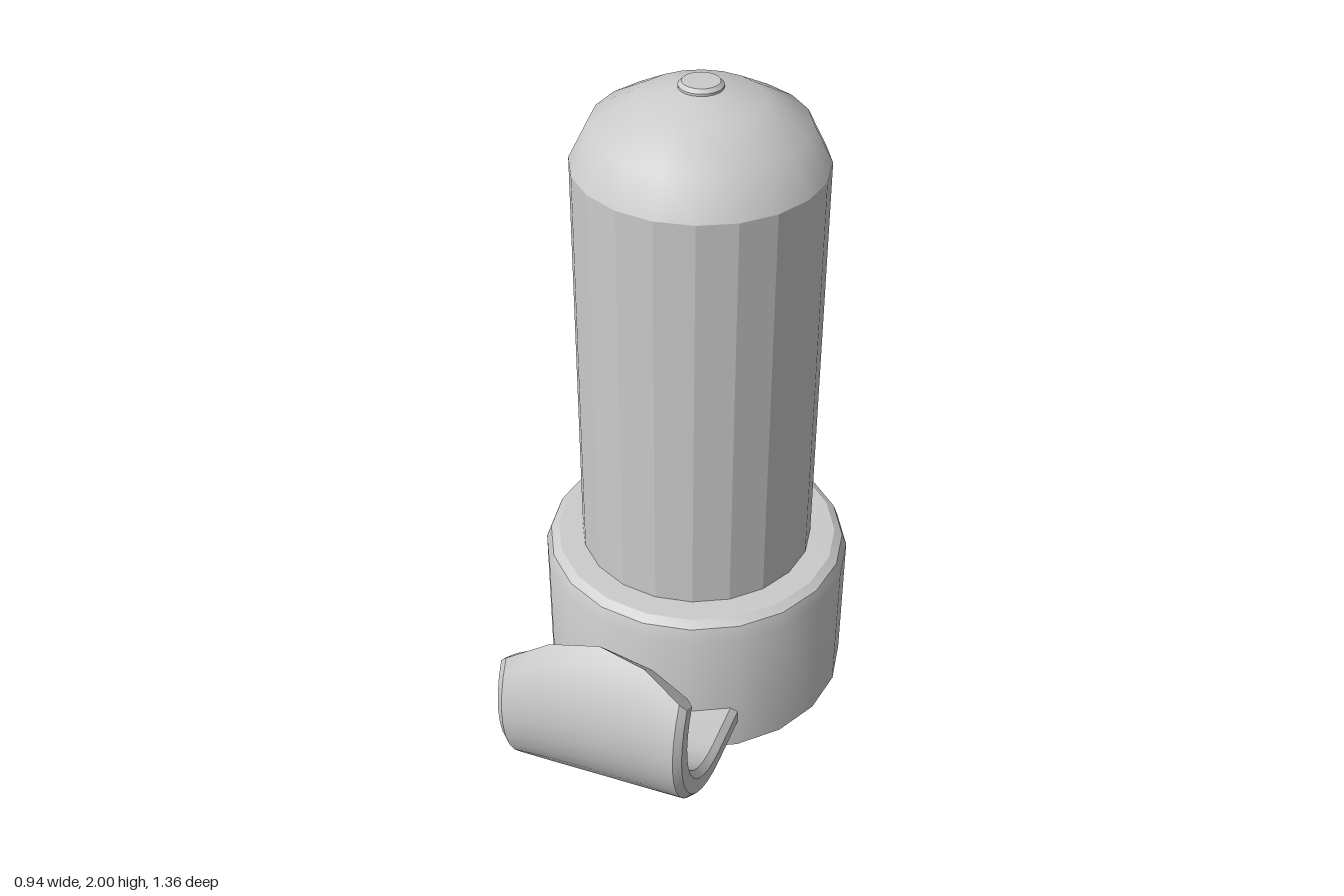
import * as THREE from 'three';
import { toCreasedNormals } from 'three/addons/utils/BufferGeometryUtils.js';

const SIDES = 20;
const AXIS_Z = -0.21; // the upright axis sits behind the centre

function addMesh(group, name, geometry, flatShading = false) {
  const material = new THREE.MeshStandardMaterial({ color: 0xcccccc, flatShading });
  const mesh = new THREE.Mesh(geometry, material);
  mesh.name = name;
  group.add(mesh);
  return mesh;
}

// Turned part from [radius, height] pairs
function turned(points, crease = 0.5) {
  const profile = points.map(([r, y]) => new THREE.Vector2(r, y));
  return toCreasedNormals(new THREE.LatheGeometry(profile, SIDES), crease);
}

// Curved tongue: a bevelled cross-section swept along a straight run and an arc
function tongueGeometry() {
  const xs = [-0.275, -0.255, -0.14, 0, 0.14, 0.255, 0.275];
  const half = 0.04, bevel = 0.018, radius = 0.3, arcZ = 0.34, arcY = 0.42;
  const edge = (i) => (i === 0 || i === xs.length - 1 ? half - bevel : half);
  const section = [
    ...xs.map((x, i) => [x, edge(i)]),
    ...xs.map((x, i) => [x, -edge(i)]).reverse(),
  ];
  const n = section.length, steps = 14;
  const positions = [], index = [];

  for (let j = 0; j <= steps; j++) {
    for (const [x, offset] of section) {
      if (j === 0) {
        // root follows the round collar wall
        const z = AXIS_Z + Math.sqrt(0.45 ** 2 - x * x);
        positions.push(x, arcY - radius - offset, z);
      } else {
        // tip is rounded: the sides stop earlier along the arc
        const end = THREE.MathUtils.degToRad(138.5 - 19 * (x / 0.275) ** 2);
        const a = (end * (j - 1)) / (steps - 1);
        const r = radius + offset;
        positions.push(x, arcY - r * Math.cos(a), arcZ + r * Math.sin(a));
      }
    }
  }
  const quad = (a, b, c, d) => index.push(a, b, c, a, c, d);
  for (let j = 0; j < steps; j++) {
    for (let k = 0; k < n; k++) {
      const k2 = (k + 1) % n;
      quad(j * n + k, j * n + k2, (j + 1) * n + k2, (j + 1) * n + k);
    }
  }
  // end faces
  const last = steps * n;
  for (let k = 0; k < xs.length - 1; k++) {
    quad(n - 1 - k, n - 2 - k, k + 1, k);
    quad(last + k, last + k + 1, last + n - 2 - k, last + n - 1 - k);
  }
  const geometry = new THREE.BufferGeometry();
  geometry.setAttribute('position', new THREE.Float32BufferAttribute(positions, 3));
  geometry.setIndex(index);
  return toCreasedNormals(geometry, 0.5);
}

export function createModel() {
  const model = new THREE.Group();
  model.name = 'model';

  const upright = new THREE.Group();
  upright.name = 'upright';
  upright.position.z = AXIS_Z;
  model.add(upright);

  // Hollow collar with a bevelled shoulder and an inner ledge
  addMesh(upright, 'collar', turned([
    [0.41, 0], [0.47, 0], [0.47, 0.44], [0.455, 0.48], [0.43, 0.497],
    [0.345, 0.5], [0.33, 0.5], [0.33, 0.28], [0.41, 0.28], [0.41, 0],
  ]));

  // Faceted tube
  addMesh(upright, 'tube',
    new THREE.CylinderGeometry(0.355, 0.355, 1.28, SIDES, 1, true).translate(0, 1.13, 0), true);

  // Smooth dome closing the tube
  addMesh(upright, 'dome', turned([
    [0.355, 1.77], [0.3, 1.88], [0.175, 1.95], [0.05, 1.987], [0, 1.987],
  ], 0.7));

  // Inner wall of the tube, seen from below
  addMesh(upright, 'innerWall', turned([
    [0, 1.95], [0.16, 1.92], [0.28, 1.85], [0.33, 1.76], [0.33, 0.49],
  ], 0.7));

  // Small button on the dome
  addMesh(upright, 'topButton', turned([
    [0.062, 1.96], [0.062, 1.99], [0.052, 2], [0, 2],
  ]));

  // Curved tongue at the front of the collar
  addMesh(model, 'frontTongue', tongueGeometry());

  return model;
}
